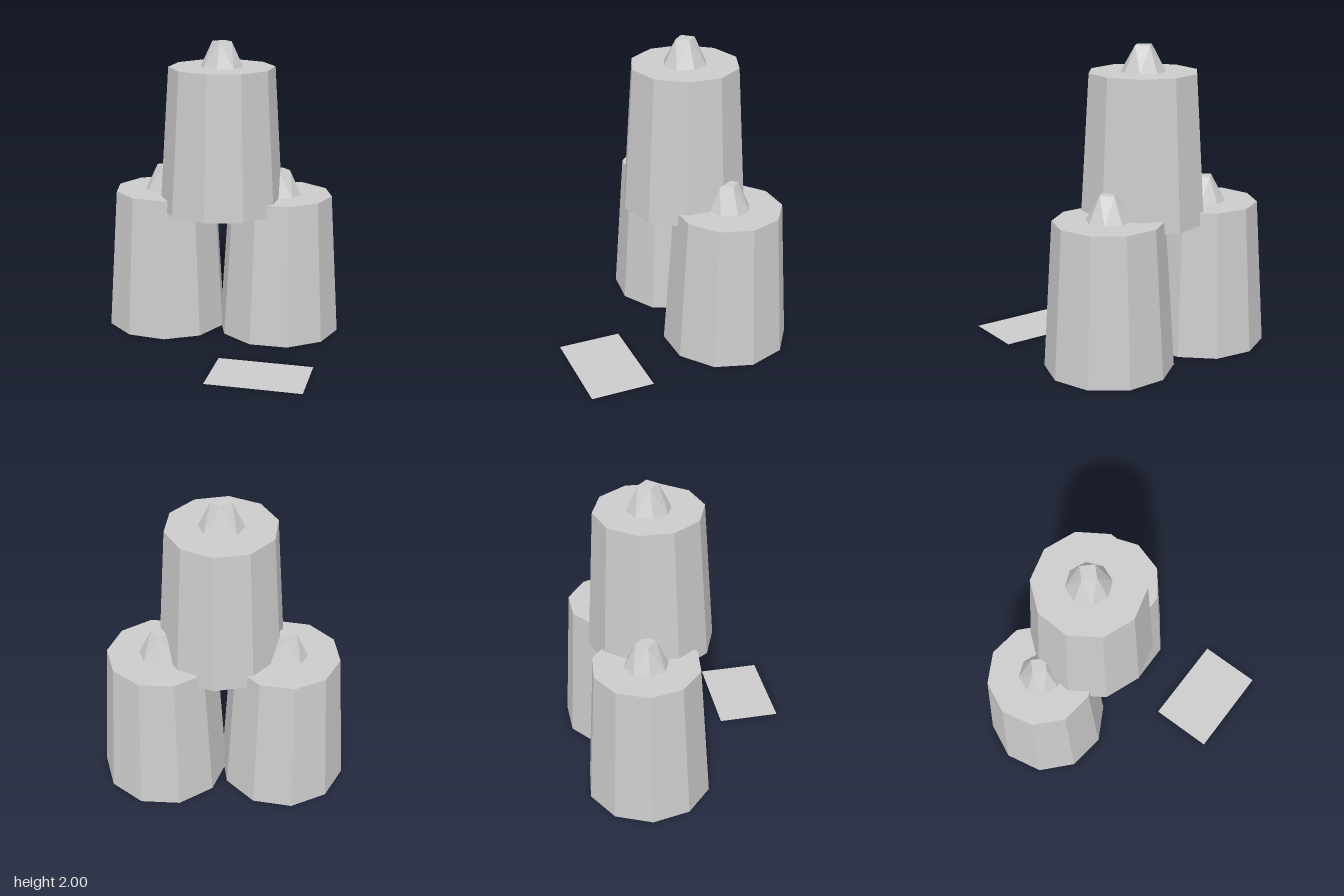
import * as THREE from 'three';

const grey = new THREE.MeshStandardMaterial({ color: 0xcccccc, flatShading: true });
const greySheet = new THREE.MeshStandardMaterial({ color: 0xcccccc, flatShading: true, side: THREE.DoubleSide });
greySheet.name = 'greySheet';
grey.name = 'grey';

const BODY_HEIGHT = 0.957;

// Faceted tip: octagonal base narrowing to a small four-cornered top
function tipGeometry(baseRadius, topRadius, height) {
  const ring = (n, r, y) => Array.from({ length: n }, (_, i) => {
    const a = (i / n) * Math.PI * 2;
    return [Math.sin(a) * r, y, Math.cos(a) * r];
  });
  const base = ring(8, baseRadius, 0);
  const top = ring(4, topRadius, height);
  const points = [];
  const tri = (...corners) => corners.forEach((c) => points.push(...c));
  for (let i = 0; i < 4; i++) {
    const next = (i + 1) % 4;
    const b0 = base[2 * i], b1 = base[2 * i + 1], b2 = base[(2 * i + 2) % 8];
    tri(b0, b1, top[i]);
    tri(b1, b2, top[next]);
    tri(top[i], b1, top[next]);
  }
  tri(top[0], top[1], top[2]);
  tri(top[0], top[2], top[3]);
  const geometry = new THREE.BufferGeometry();
  geometry.setAttribute('position', new THREE.Float32BufferAttribute(points, 3));
  geometry.computeVertexNormals();
  return geometry;
}

// Ten-sided tapered barrel with a tip on its lid
function createBarrel(name, x, y, z, turn) {
  const barrel = new THREE.Group();
  barrel.name = name;
  barrel.position.set(x, y, z);

  const body = new THREE.Mesh(new THREE.CylinderGeometry(0.353, 0.413, BODY_HEIGHT, 10), grey);
  body.name = 'body';
  body.position.y = BODY_HEIGHT / 2;
  body.rotation.y = turn;

  const tip = new THREE.Mesh(tipGeometry(0.144, 0.065, 0.167), grey);
  tip.name = 'tip';
  tip.position.y = BODY_HEIGHT;

  barrel.add(body, tip);
  return barrel;
}

export function createModel() {
  const model = new THREE.Group();
  model.name = 'barrelStack';

  // Two barrels on the ground and one stacked across them
  model.add(
    createBarrel('rightBarrel', -0.397, 0, -0.305, 0.2),
    createBarrel('leftBarrel', 0.392, 0, -0.348, 0.332),
    createBarrel('topBarrel', 0.018, 0.876, -0.2, -0.048),
  );

  // Flat sheet lying on the ground in front
  const sheet = new THREE.Mesh(new THREE.PlaneGeometry(0.624, 0.416), greySheet);
  sheet.name = 'groundSheet';
  sheet.rotation.x = -Math.PI / 2;
  sheet.position.set(0.434, 0, 0.528);
  model.add(sheet);

  return model;
}
